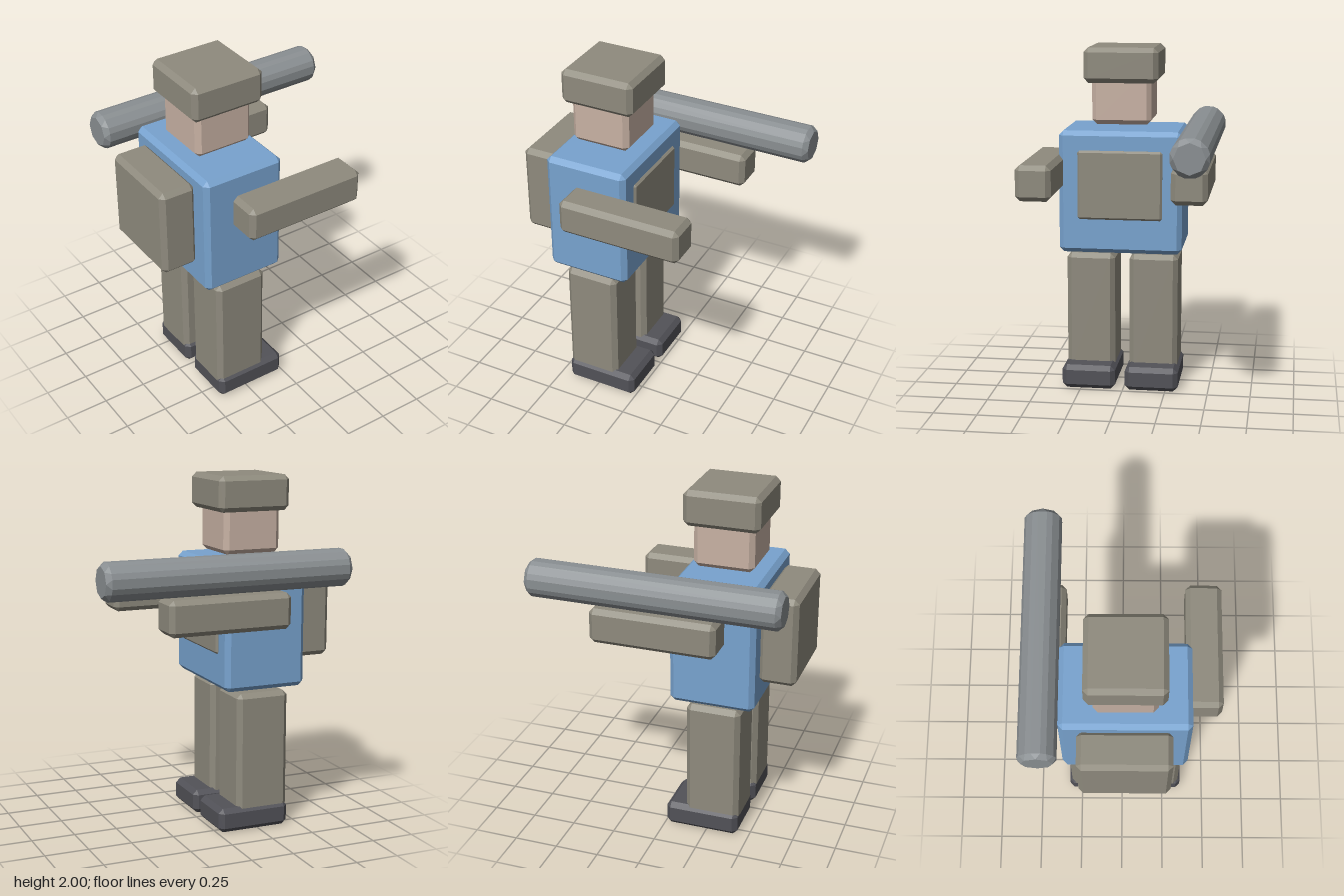
import * as THREE from 'three';
import { ConvexGeometry } from 'three/addons/geometries/ConvexGeometry.js';

const BEVEL = 0.027;
const mat = (color) => new THREE.MeshStandardMaterial({ color, flatShading: true });

// Box between two limits on each axis, with every edge and corner chamfered
function chamferBox([x0, x1], [y0, y1], [z0, z1], bevel = BEVEL) {
  const half = [(x1 - x0) / 2, (y1 - y0) / 2, (z1 - z0) / 2];
  const points = [];
  for (const sx of [-1, 1]) for (const sy of [-1, 1]) for (const sz of [-1, 1]) {
    for (let axis = 0; axis < 3; axis++) {
      const [x, y, z] = half.map((h, i) => (i === axis ? h : h - bevel));
      points.push(new THREE.Vector3(sx * x, sy * y, sz * z));
    }
  }
  const geometry = new ConvexGeometry(points);
  geometry.translate((x0 + x1) / 2, (y0 + y1) / 2, (z0 + z1) / 2);
  return geometry;
}

// Eight-sided bar along x with chamfered long edges and ends
function chamferBar(x0, x1, y, z, radius, bevel = BEVEL) {
  const step = Math.PI / 4;
  const points = [];
  for (let i = 0; i < 8; i++) {
    const a = i * step;
    const corner = (angle, r) => [y + r * Math.cos(angle), z + r * Math.sin(angle)];
    const [cy, cz] = corner(a, radius);
    const capR = radius - bevel / Math.cos(step / 2);
    for (const [end, inward] of [[x0, 1], [x1, -1]]) {
      points.push(new THREE.Vector3(end, ...corner(a, capR)));
      for (const side of [-1, 1]) {
        const [ny, nz] = corner(a + side * step, radius);
        const t = bevel / Math.hypot(ny - cy, nz - cz);
        points.push(new THREE.Vector3(end + inward * bevel, cy + (ny - cy) * t, cz + (nz - cz) * t));
      }
    }
  }
  return new ConvexGeometry(points);
}

export function createModel() {
  const model = new THREE.Group();
  model.name = 'blockSoldier';

  const olive = mat(0x8f8b7e);
  const blue = mat(0x78a3cf);
  const skin = mat(0xc8b2a4);
  const dark = mat(0x525258);
  const steel = mat(0x8a8f92);

  const add = (name, geometry, material) => {
    const mesh = new THREE.Mesh(geometry, material);
    mesh.name = name;
    model.add(mesh);
  };

  // Head and helmet
  add('helmet', chamferBox([-0.49, -0.06], [1.8, 2.0], [-0.195, 0.232]), olive);
  add('head', chamferBox([-0.45, -0.108], [1.56, 1.9], [-0.152, 0.19]), skin);

  // Body, chest plate and backpack
  add('torso', chamferBox([-0.52, -0.035], [0.82, 1.53], [-0.338, 0.373]), blue);
  add('chestPlate', chamferBox([-0.1, -0.022], [1.02, 1.42], [-0.226, 0.262], 0.012), olive);
  add('backpack', chamferBox([-0.725, -0.512], [0.965, 1.475], [-0.24, 0.27]), olive);

  // Limbs, mirrored about the middle of the body
  const midZ = 0.0175;
  for (const [prefix, side] of [['front', 1], ['back', -1]]) {
    const span = (inner, outer) => [midZ + side * inner, midZ + side * outer].sort((a, b) => a - b);
    add(`${prefix}Arm`, chamferBox([-0.35, 0.365], [1.19, 1.39], span(0.328, 0.528)), olive);
    add(`${prefix}Leg`, chamferBox([-0.435, -0.123], [0.08, 0.795], span(0.043, 0.327)), olive);
    add(`${prefix}Boot`, chamferBox([-0.435, -0.008], [0, 0.14], span(0.029, 0.342)), dark);
  }

  // Launcher tube resting above the back arm
  add('launcherTube', chamferBar(-0.705, 0.722, 1.504, -0.441, 0.113), steel);

  return model;
}
